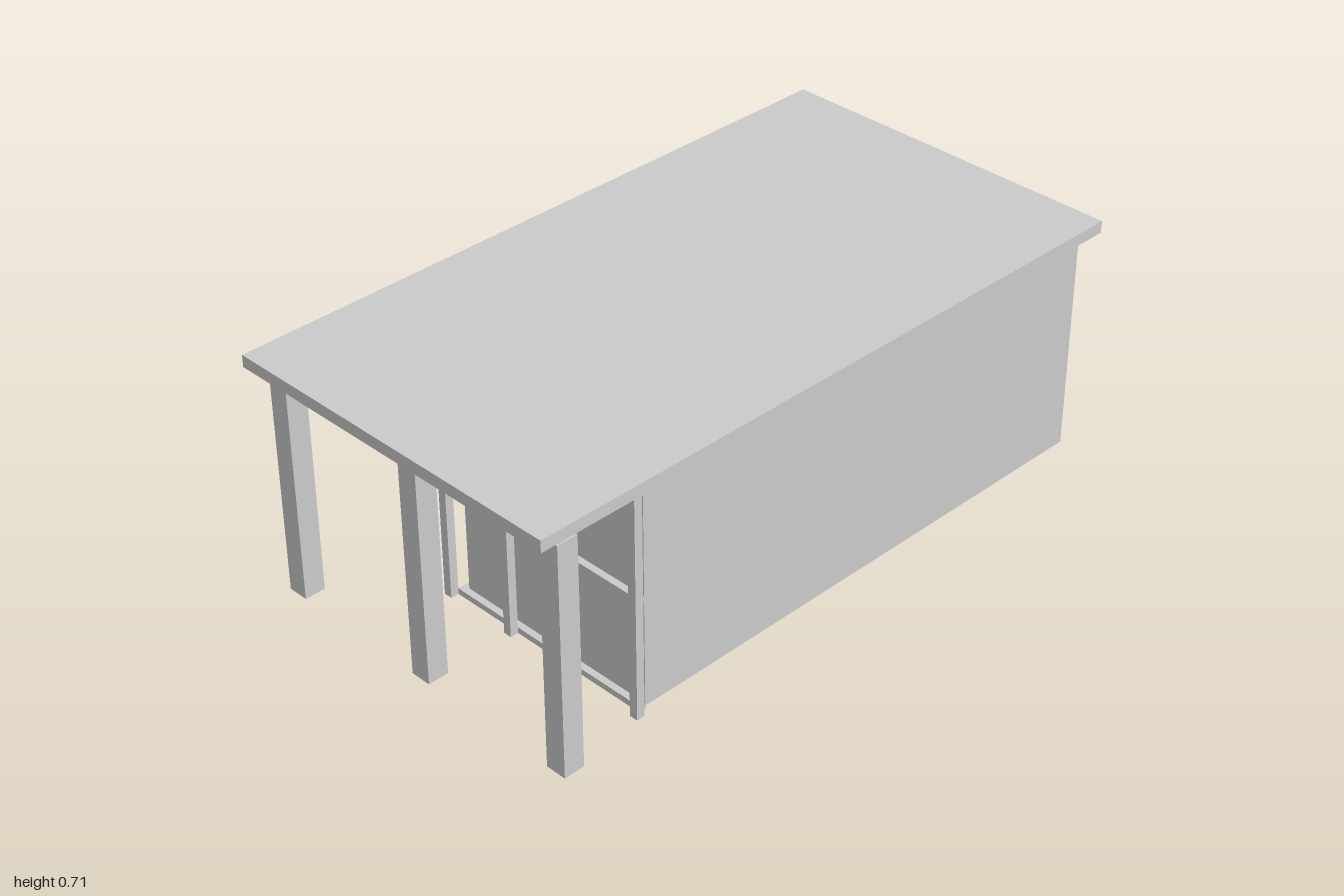
import * as THREE from 'three';

export function createModel() {
  const model = new THREE.Group();
  const material = new THREE.MeshStandardMaterial({ color: 0xcccccc, flatShading: true });

  // Box given by its limits on each axis
  function block(name, [x0, x1], [y0, y1], [z0, z1]) {
    const mesh = new THREE.Mesh(new THREE.BoxGeometry(x1 - x0, y1 - y0, z1 - z0), material);
    mesh.position.set((x0 + x1) / 2, (y0 + y1) / 2, (z0 + z1) / 2);
    mesh.name = name;
    model.add(mesh);
  }

  // Upright square bar from the ground to the roof
  function upright(name, x, z, size) {
    const h = size / 2;
    block(name, [x - h, x + h], [0, 0.68], [z - h, z + h]);
  }

  // Flat roof and enclosed hall
  block('roof', [-1, 1], [0.68, 0.715], [-0.54, 0.535]);
  block('hall', [-0.645, 0.963], [0.01, 0.68], [-0.155, 0.492]);

  // Columns along the open back and right sides
  for (const x of [0.93, 0.365, -0.345, -0.925]) upright('column', x, -0.467, 0.062);
  for (const z of [0.018, 0.509]) upright('column', -0.925, z, 0.062);

  // Slim mullions standing just outside the two window walls
  for (let i = 0; i < 7; i++) upright('backMullion', 0.9375 - i * 0.269, -0.1885, 0.025);
  upright('cornerMullion', 0.9875, -0.1885, 0.025);
  for (let i = 1; i < 4; i++) upright('sideMullion', -0.677, -0.1885 + i * 0.2285, 0.025);

  // Horizontal rails joining the mullions to the walls
  for (const [y0, y1] of [[0, 0.018], [0.33, 0.345], [0.664, 0.68]]) {
    block('backRail', [-0.665, 0.963], [y0, y1], [-0.176, -0.155]);
    block('sideRail', [-0.665, -0.645], [y0, y1], [-0.155, 0.492]);
  }

  return model;
}
